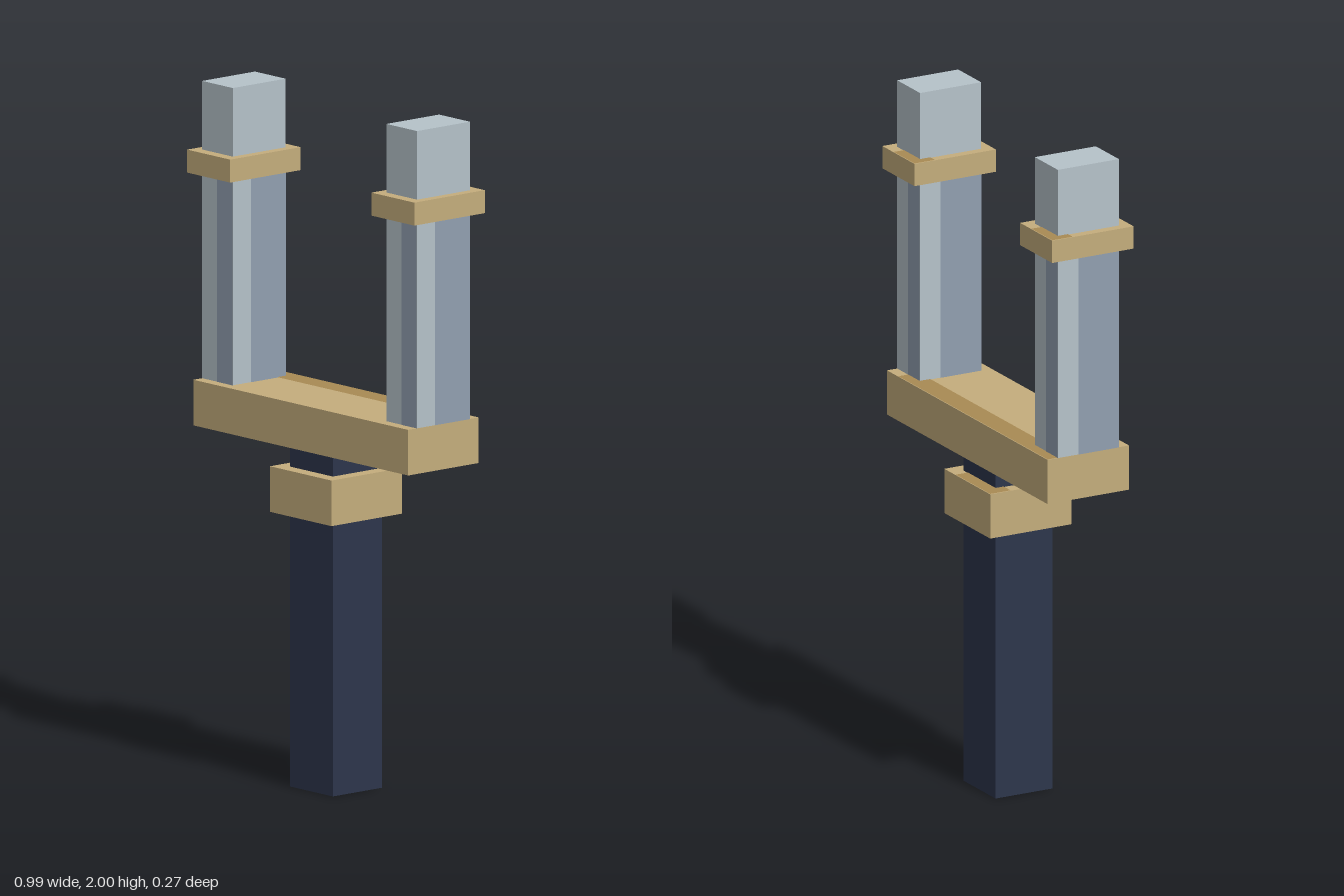
import * as THREE from 'three';

export function createModel() {
  const model = new THREE.Group();
  model.name = 'twoProngedFork';

  const material = (name, color) => {
    const m = new THREE.MeshStandardMaterial({ color });
    m.name = name;
    return m;
  };
  const paleSteel = material('pale steel', 0xb5c2c9);
  const shadedSteel = material('blue steel', 0x919fb0);
  const gold = material('gold', 0xc4ad7c);
  const darkGold = material('dark gold', 0xa98a54);
  const navy = material('navy grip', 0x2c354b);

  const UNIT = 1 / 15; // band width used by all painted details
  const LIFT = 0.0015; // keeps painted faces just clear of the surface

  // Box spanning y0..y1, centred on x at z = 0
  function block(parent, name, mat, w, d, y0, y1, x = 0) {
    const mesh = new THREE.Mesh(new THREE.BoxGeometry(w, y1 - y0, d), mat);
    mesh.position.set(x, (y0 + y1) / 2, 0);
    mesh.name = name;
    parent.add(mesh);
  }

  // Single painted face; rotations turn it from facing +z
  function paint(parent, name, mat, w, h, position, rx, ry) {
    const mesh = new THREE.Mesh(new THREE.PlaneGeometry(w, h), mat);
    mesh.position.set(...position);
    mesh.rotation.set(rx, ry, 0);
    mesh.name = name;
    parent.add(mesh);
  }

  // Gold block with a dark band on the back of its top and front of its underside
  function goldBlock(parent, name, w, d, y0, y1, x = 0) {
    block(parent, name, gold, w, d, y0, y1, x);
    const z = d / 2 - UNIT / 2;
    const bandX = x - UNIT / 2;
    paint(parent, name + 'TopBand', darkGold, w - UNIT, UNIT, [bandX, y1 + LIFT, -z], -Math.PI / 2, 0);
    paint(parent, name + 'BottomBand', darkGold, w - UNIT, UNIT, [bandX, y0 - LIFT, z], Math.PI / 2, 0);
  }

  // Handle, its collar and the crossbar
  block(model, 'handle', navy, 0.187, 0.187, 0, 1);
  goldBlock(model, 'handleCollar', 0.267, 0.267, 0.8, 0.933);
  goldBlock(model, 'crossbar', 0.933, 0.267, 1, 1.133);

  // Prongs with a collar and a darker strip down every side
  for (const [side, x] of [['right', -0.4], ['left', 0.4]]) {
    const prong = new THREE.Group();
    prong.name = side + 'Prong';
    prong.position.x = x;
    model.add(prong);
    block(prong, 'blade', paleSteel, 2 * UNIT, 3 * UNIT, 1.133, 2);
    goldBlock(prong, 'bladeCollar', 0.187, 0.267, 1.733, 1.8);

    const h = 0.6, y = 1.433;
    for (const s of [1, -1]) {
      const turn = s > 0 ? 0 : Math.PI;
      paint(prong, 'broadStrip', shadedSteel, UNIT, h,
        [s * UNIT / 2, y, s * (1.5 * UNIT + LIFT)], 0, turn);
      paint(prong, 'sideStrip', shadedSteel, 2 * UNIT, h,
        [s * (UNIT + LIFT), y, -s * UNIT / 2], 0, s * Math.PI / 2);
    }
  }

  return model;
}
